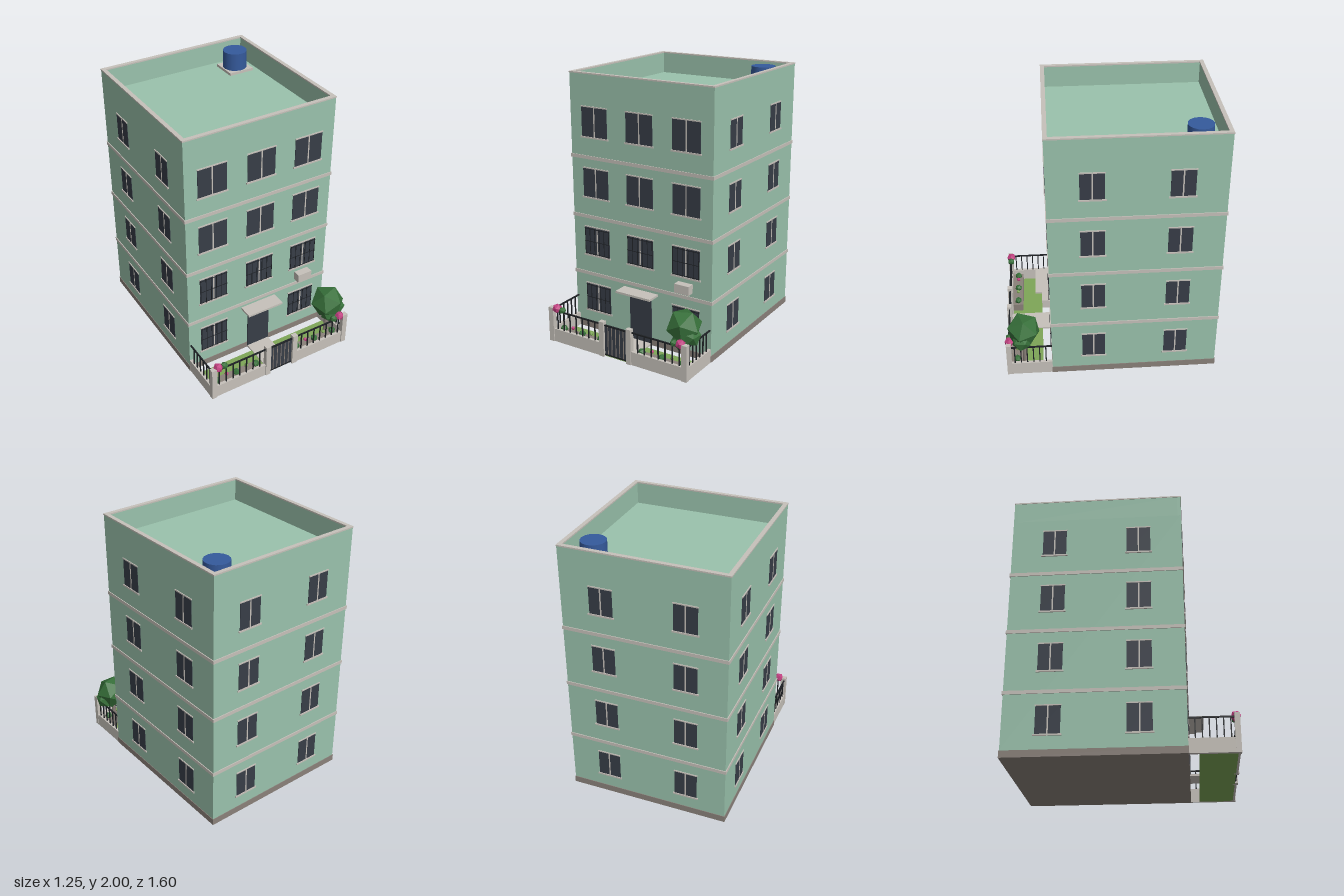
import * as THREE from 'three';

const mat = (name, color) => {
  const m = new THREE.MeshStandardMaterial({ color });
  m.name = name;
  return m;
};

export function createModel() {
  const wall = mat('mint wall', 0x9ac2ac), trim = mat('stone trim', 0xc6c1ba);
  const plinthMat = mat('dark stone', 0x8a817a), glass = mat('dark glass', 0x373d47);
  const metal = mat('black metal', 0x1e2125), blue = mat('tank blue', 0x355a9c);
  const grass = mat('grass green', 0x7ea657), leaf = mat('leaf green', 0x37703a);
  const pink = mat('blossom pink', 0xc04080);
  leaf.flatShading = pink.flatShading = true;

  const model = new THREE.Group();
  model.name = 'apartmentBuilding';
  const add = (parent, name, geo, m, x = 0, y = 0, z = 0) => {
    const mesh = new THREE.Mesh(geo, m);
    mesh.name = name;
    mesh.position.set(x, y, z);
    parent.add(mesh);
    return mesh;
  };
  // Box given by its minimum and maximum corners
  const box = (parent, name, m, x0, x1, y0, y1, z0, z1) =>
    add(parent, name, new THREE.BoxGeometry(x1 - x0, y1 - y0, z1 - z0), m,
      (x0 + x1) / 2, (y0 + y1) / 2, (z0 + z1) / 2);
  const group = (parent, name) => {
    const g = new THREE.Group();
    g.name = name;
    parent.add(g);
    return g;
  };

  const X0 = -0.62, X1 = 0.586, Z0 = -0.797, Z1 = 0.444, CX = (X0 + X1) / 2;
  const FLOOR = 0.459, ROOF = 1.83, T = 0.028;

  // Main block, plinth and floor bands
  box(model, 'plinth', plinthMat, X0 - 0.004, X1 + 0.004, 0, 0.05, Z0 - 0.004, Z1 + 0.004);
  box(model, 'body', wall, X0, X1, 0.05, ROOF, Z0, Z1);
  for (let i = 1; i < 4; i++) {
    const y = i * FLOOR;
    box(model, 'floorBand', trim, X0 - 0.006, X1 + 0.006, y - 0.013, y + 0.013, Z0 - 0.006, Z1 + 0.006);
  }

  // Parapet walls with coping on top
  const ring = (name, m, y0, y1, e, t) => {
    const g = group(model, name);
    box(g, name + 'Front', m, X0 - e, X1 + e, y0, y1, Z1 - t, Z1 + e);
    box(g, name + 'Back', m, X0 - e, X1 + e, y0, y1, Z0 - e, Z0 + t);
    box(g, name + 'Left', m, X1 - t, X1 + e, y0, y1, Z0 + t, Z1 - t);
    box(g, name + 'Right', m, X0 - e, X0 + t, y0, y1, Z0 + t, Z1 - t);
  };
  ring('parapet', wall, ROOF, 1.99, 0, T - 0.002);
  ring('coping', trim, 1.99, 2, 0.003, T);

  // Water tank
  box(model, 'tankBase', trim, 0.311, 0.513, ROOF, 1.85, -0.711, -0.509);
  add(model, 'waterTank', new THREE.CylinderGeometry(0.092, 0.092, 0.135, 16), blue, 0.412, 1.9175, -0.61);

  // Window facing +z, its origin at the middle of the sill on the wall
  const makeWindow = (w, h, grille) => {
    const g = new THREE.Group();
    g.name = 'window';
    box(g, 'pane', glass, -w / 2, w / 2, 0, h, 0, 0.003);
    box(g, 'mullion', trim, -0.005, 0.005, 0, h, 0, 0.005);
    box(g, 'sill', trim, -w / 2 - 0.01, w / 2 + 0.01, -0.009, 0.003, 0, 0.009);
    box(g, 'lintel', trim, -w / 2 - 0.004, w / 2 + 0.004, h, h + 0.009, 0, 0.006);
    if (grille) {
      for (let i = 0; i < 6; i++) {
        const x = (i / 5 - 0.5) * (w - 0.01);
        box(g, 'grilleBar', metal, x - 0.002, x + 0.002, 0.004, h, 0.006, 0.009);
      }
      for (const y of [0.05, 0.5, 0.95])
        box(g, 'grilleRail', metal, -w / 2, w / 2, y * h - 0.002, y * h + 0.002, 0.006, 0.009);
    }
    return g;
  };
  const placeWindow = (w, h, grille, x, y, z, turn) => {
    const g = makeWindow(w, h, grille);
    g.position.set(x, y, z);
    g.rotation.y = turn;
    model.add(g);
  };
  for (let f = 0; f < 4; f++) {
    const y = 0.154 + f * FLOOR;
    for (const dx of [-0.39, 0, 0.39])
      if (f || dx) placeWindow(0.225, 0.22, f < 2, CX + dx, y, Z1, 0);
    for (const z of [0.13, -0.483]) {
      placeWindow(0.172, 0.203, false, X1, y, z, Math.PI / 2);
      placeWindow(0.172, 0.203, false, X0, y, z, -Math.PI / 2);
    }
    for (const dx of [-0.303, 0.303])
      placeWindow(0.172, 0.203, false, CX + dx, y, Z0, Math.PI);
  }

  // Entrance door, canopy and air conditioner
  box(model, 'door', glass, CX - 0.095, CX + 0.095, 0.01, 0.37, Z1, Z1 + 0.008);
  box(model, 'doorLintel', trim, CX - 0.1, CX + 0.1, 0.37, 0.382, Z1, Z1 + 0.01);
  box(model, 'canopy', trim, CX - 0.151, CX + 0.151, 0.408, 0.424, Z1, 0.555);
  box(model, 'airConditioner', trim, 0.31, 0.43, 0.504, 0.572, Z1, 0.502);

  // Front garden
  box(model, 'lawn', grass, X0 + 0.025, X1 - 0.025, 0, 0.01, 0.513, 0.765);
  box(model, 'path', trim, CX - 0.095, CX + 0.095, 0.002, 0.016, Z1, 0.762);
  const ball = (name, m, r, x, y, z, turn = 0) => {
    const b = add(model, name, new THREE.IcosahedronGeometry(r, 0), m, x, y, z);
    b.rotation.set(turn * 0.6, turn, 0);
  };
  for (const s of [-1, 1]) {
    const a = CX + s * 0.143, b = CX + s * 0.567;
    box(model, 'planter', plinthMat, Math.min(a, b), Math.max(a, b), 0.01, 0.07, 0.67, 0.753);
  }
  for (const start of [-0.543, 0.168])
    for (let i = 0; i < 5; i++) {
      const x = start + i * 0.0855;
      if (i % 2 === 0) ball('bush', leaf, 0.029, x, 0.085, 0.709, i);
      else ball('smallPlant', i === 1 ? pink : grass, 0.016, x, 0.11, 0.709, i);
    }

  // Low wall, posts and railings
  const bar = (x, z) => box(model, 'railingBar', metal, x - 0.004, x + 0.004, 0.1, 0.25, z - 0.004, z + 0.004);
  for (const s of [-1, 1]) {
    const outer = CX + s * 0.603, gate = CX + s * 0.1;
    const lo = Math.min(outer, gate), hi = Math.max(outer, gate);
    box(model, 'frontWall', trim, lo, hi, 0, 0.103, 0.757, 0.78);
    box(model, 'frontRail', metal, lo, hi, 0.244, 0.254, 0.763, 0.773);
    for (let i = 1; i < 8; i++) bar(gate + s * (0.03 + i * 0.058), 0.768);
    const sx = outer - s * 0.0125;
    box(model, 'sideWall', trim, sx - 0.0125, sx + 0.0125, 0, 0.103, Z1, 0.757);
    box(model, 'sideRail', metal, sx - 0.005, sx + 0.005, 0.244, 0.254, Z1, 0.757);
    for (let i = 1; i < 7; i++) bar(sx, Z1 + i * 0.047);
    for (const px of [outer - s * 0.018, CX + s * 0.119])
      box(model, 'post', trim, px - 0.021, px + 0.021, 0, 0.274, 0.75, 0.787);
  }

  // Gate
  box(model, 'gatePanel', glass, CX - 0.097, CX + 0.097, 0.012, 0.25, 0.765, 0.771);
  for (const y of [0.012, 0.242])
    box(model, 'gateRail', metal, CX - 0.097, CX + 0.097, y, y + 0.01, 0.762, 0.775);
  for (let i = -2; i <= 2; i++) {
    const x = CX + i * 0.034;
    box(model, 'gateBar', plinthMat, x - 0.003, x + 0.003, 0.022, 0.242, 0.77, 0.774);
  }

  // Tree in the left corner
  add(model, 'treeTrunk', new THREE.CylinderGeometry(0.014, 0.02, 0.28, 7), plinthMat, 0.49, 0.15, 0.65);
  ball('treeCrown', leaf, 0.132, 0.488, 0.35, 0.652, 0.3);
  ball('treeSideCrown', leaf, 0.078, 0.55, 0.295, 0.67, 1);
  ball('treeLowCrown', leaf, 0.075, 0.49, 0.26, 0.69, 2);

  // Blossoms on the corner posts
  ball('cornerBlossom', pink, 0.038, -0.56, 0.268, 0.763, 0.4);
  ball('cornerLeaves', leaf, 0.029, -0.508, 0.264, 0.764, 1);
  ball('cornerBlossom', pink, 0.038, 0.525, 0.268, 0.763, 0.4);
  ball('cornerLeaves', leaf, 0.029, 0.472, 0.264, 0.764, 1);

  return model;
}
